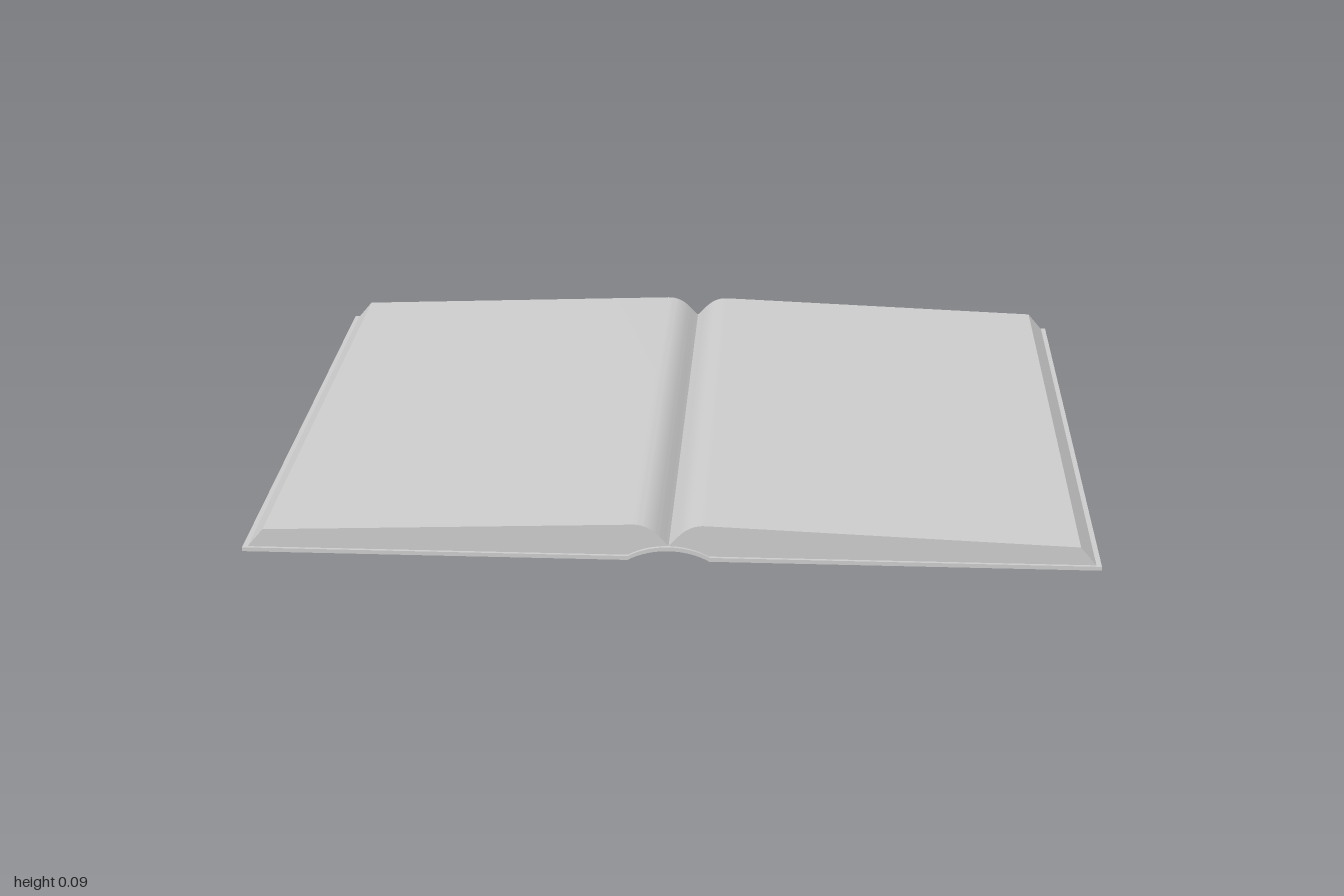
import * as THREE from 'three';
import { toCreasedNormals } from 'three/addons/utils/BufferGeometryUtils.js';

const CREASE = 0.45;
const ARCH = 0.095; // half width of the raised spine

// Extrudes a front outline along z, centred, keeping curves smooth and edges sharp
function slab(name, shape, depth, material) {
  const geometry = new THREE.ExtrudeGeometry(shape, { depth, bevelEnabled: false, curveSegments: 16 });
  geometry.translate(0, 0, -depth / 2);
  const mesh = new THREE.Mesh(toCreasedNormals(geometry, CREASE), material);
  mesh.name = name;
  return mesh;
}

export function createModel() {
  const book = new THREE.Group();
  book.name = 'openBook';
  const material = new THREE.MeshStandardMaterial({ color: 0xcccccc });

  // Thin cover, arched up at the spine
  const cover = new THREE.Shape();
  cover.moveTo(-1, 0);
  cover.lineTo(-ARCH, 0);
  cover.bezierCurveTo(-0.04, 0.033, 0.04, 0.033, ARCH, 0);
  cover.lineTo(1, 0);
  cover.lineTo(1, 0.01);
  cover.lineTo(ARCH, 0.01);
  cover.bezierCurveTo(0.04, 0.043, -0.04, 0.043, -ARCH, 0.01);
  cover.lineTo(-1, 0.01);
  cover.closePath();
  book.add(slab('cover', cover, 1.514, material));

  // Page blocks: rounded into the gutter, thinning to a slanted outer edge
  for (const [side, name] of [[1, 'leftPages'], [-1, 'rightPages']]) {
    const pages = new THREE.Shape();
    pages.moveTo(0, 0.035);
    pages.bezierCurveTo(side * 0.02, 0.055, side * 0.04, 0.09, side * 0.085, 0.088);
    pages.lineTo(side * 0.95, 0.055);
    pages.lineTo(side * 0.988, 0.01);
    pages.lineTo(side * ARCH, 0.01);
    pages.quadraticCurveTo(side * 0.05, 0.034, 0, 0.0345);
    pages.closePath();
    book.add(slab(name, pages, 1.5, material));
  }

  return book;
}
